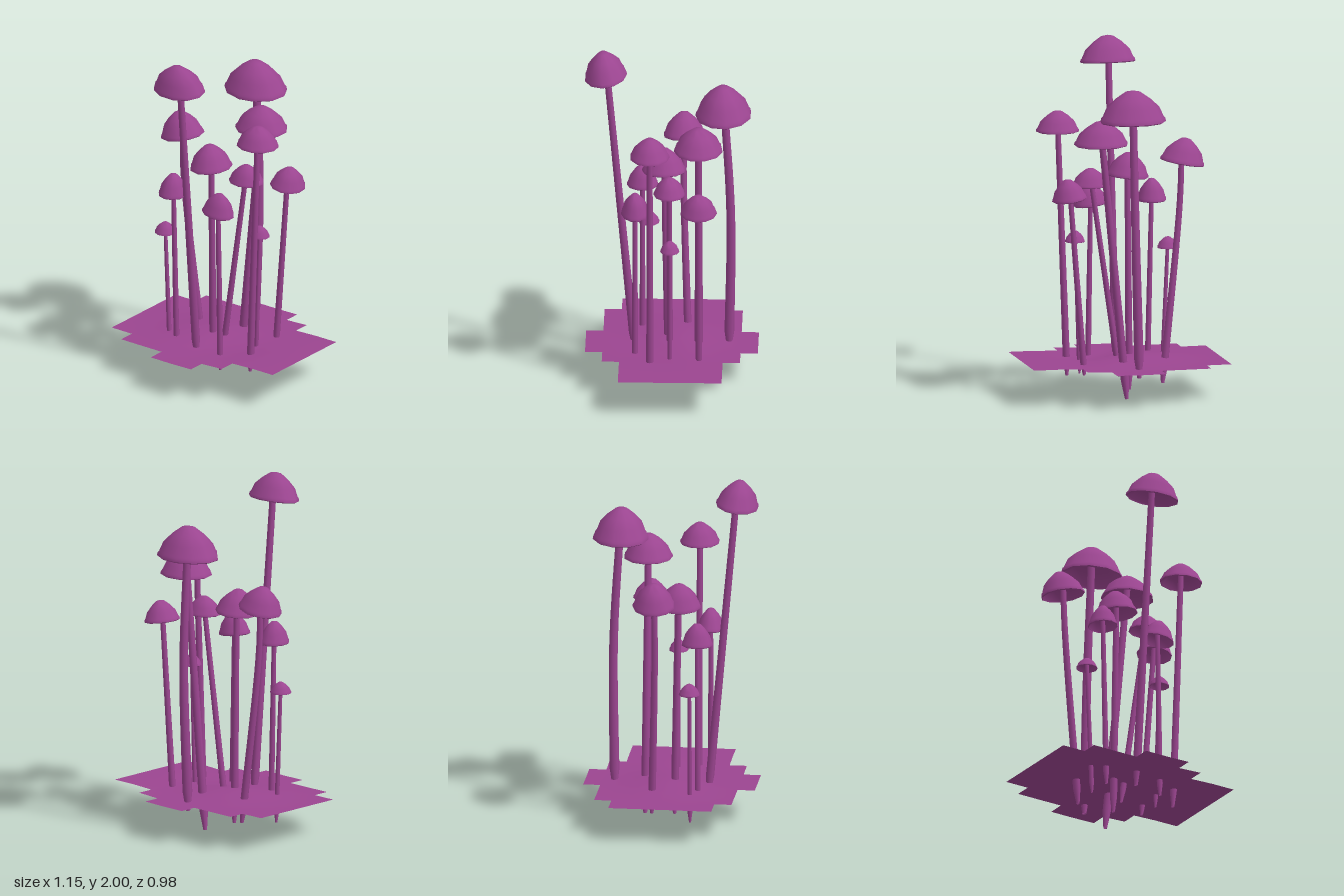
import * as THREE from 'three';
import { toCreasedNormals } from 'three/addons/utils/BufferGeometryUtils.js';

const material = new THREE.MeshStandardMaterial({ color: 0x9b4590, side: THREE.DoubleSide });

// Cap section (radius, height), from the hollow underside over the rim lip to the apex
const CAP = [
  [0.1, 0.5], [0.6, 0.38], [0.92, 0.07], [0.95, 0], [1, 0.03], [0.98, 0.13],
  [0.93, 0.18], [0.8, 0.48], [0.53, 0.74], [0.22, 0.96], [0, 1],
].map(([r, y]) => new THREE.Vector2(r, y));

// at: rim centre, size: radius x, height, radius z, foot: root x and y,
// lean: how far the cap sits in front of the root, tilt: sideways tip of the cap, bend: kink in the stem
const MUSHROOMS = [
  { at: [0, 1.62, -0.3], size: [0.19, 0.185, 0.16], foot: [-0.03, 0.15], lean: 0.03, bend: [-0.005, 1, -0.34] },
  { at: [0.15, 1.47, -0.16], size: [0.155, 0.14, 0.14], foot: [0, 0] },
  { at: [0.335, 1.165, -0.165], size: [0.1, 0.12, 0.105], foot: [0.25, 0.15], tilt: -0.14 },
  { at: [-0.345, 1.33, -0.07], size: [0.13, 0.145, 0.12], foot: [-0.227, 0.07], lean: 0.025, tilt: 0.2, bend: [-0.335, 1.1, -0.065] },
  { at: [-0.055, 1.245, 0.04], size: [0.12, 0.14, 0.125], foot: [-0.06, 0.02], lean: 0.025, tilt: 0.1 },
  { at: [0.17, 1.205, 0.005], size: [0.105, 0.105, 0.09], foot: [0, 0.1] },
  { at: [0.262, 0.89, 0], size: [0.058, 0.065, 0.055], foot: [0.235, 0.13] },
  { at: [0.335, 1.51, 0.112], size: [0.125, 0.12, 0.113], foot: [0.28, 0.1] },
  { at: [-0.315, 0.805, 0.13], size: [0.062, 0.065, 0.06], foot: [-0.28, 0.04] },
  { at: [-0.23, 1.075, 0.165], size: [0.083, 0.13, 0.09], foot: [-0.205, 0.1] },
  { at: [0.118, 1.06, 0.2], size: [0.1, 0.13, 0.08], foot: [0.135, 0.1], tilt: -0.12 },
  { at: [-0.028, 1.845, 0.368], size: [0.162, 0.155, 0.122], foot: [-0.03, 0.12], lean: 0.165 },
];

function makeStem(points, radius) {
  const segments = 14, sides = 8;
  const curve = new THREE.CatmullRomCurve3(points);
  const geometry = new THREE.TubeGeometry(curve, segments, radius, sides);
  const pos = geometry.attributes.position, v = new THREE.Vector3();
  // Narrow the buried root and thin the stem slightly towards the cap
  for (let i = 0; i <= segments; i++) {
    const t = i / segments, centre = curve.getPointAt(t);
    const k = i === 0 ? 0.45 : 1.05 - 0.25 * t;
    for (let j = 0; j <= sides; j++) {
      const n = i * (sides + 1) + j;
      v.fromBufferAttribute(pos, n).sub(centre).multiplyScalar(k).add(centre);
      pos.setXYZ(n, v.x, v.y, v.z);
    }
  }
  return new THREE.Mesh(geometry, material);
}

function makeMushroom({ at, size, foot, lean = 0, tilt = 0, bend }, index) {
  const group = new THREE.Group();
  group.name = `mushroom${index + 1}`;

  // Cap: eleven-sided bell with a central bump and a thick rim
  const geometry = new THREE.LatheGeometry(CAP, 11, index * 0.7);
  geometry.scale(...size);
  const cap = new THREE.Mesh(toCreasedNormals(geometry, 0.85), material);
  cap.name = 'cap';
  cap.position.set(...at);
  cap.rotation.set(lean * 0.8, 0, tilt);

  // Stem: from the root, through any bend, into the hollow of the cap
  const root = new THREE.Vector3(foot[0], foot[1], at[2] - lean);
  const top = new THREE.Vector3(at[0], at[1] + size[1] * 0.55, at[2]);
  const middle = bend ? new THREE.Vector3(...bend) : root.clone().lerp(top, 0.5);
  const stem = makeStem([root, middle, top], 0.006 + 0.06 * (size[0] + size[2]));
  stem.name = 'stem';
  group.add(cap, stem);
  return group;
}

// Uneven sheet of soil with a stepped outline
function makeGround() {
  const mound = (x, z, cx, cz, r) => Math.exp(-((x - cx) ** 2 + (z - cz) ** 2) / r ** 2);
  const columns = 8, rows = 10, width = 1.155, depth = 0.98;
  const geometry = new THREE.PlaneGeometry(width, depth, columns, rows).rotateX(-Math.PI / 2);
  geometry.translate(0, 0, -0.007);

  // Raise the middle and the right edge, sink a hollow in front
  const pos = geometry.attributes.position;
  for (let n = 0; n < pos.count; n++) {
    const x = pos.getX(n), z = pos.getZ(n);
    pos.setY(n, 0.198 + 0.035 * mound(x, z, -0.08, -0.02, 0.21)
      - 0.02 * mound(x, z, 0.1, 0.12, 0.12) + 0.018 * THREE.MathUtils.smoothstep(x, 0, 0.5));
  }

  // Keep fewer cells in the first and last two rows
  const spans = [[3, 5], [1, 6]], index = [];
  for (let j = 0; j < rows; j++) {
    const [from, to] = spans[Math.min(j, rows - 1 - j)] ?? [0, columns];
    for (let i = from; i < to; i++) {
      const a = j * (columns + 1) + i, b = a + columns + 1;
      index.push(a, b, a + 1, b, b + 1, a + 1);
    }
  }
  geometry.setIndex(index);
  geometry.computeVertexNormals();
  const ground = new THREE.Mesh(geometry, material);
  ground.name = 'ground';
  return ground;
}

export function createModel() {
  const model = new THREE.Group();
  model.name = 'mushroomCluster';
  model.add(makeGround(), ...MUSHROOMS.map(makeMushroom));
  return model;
}
